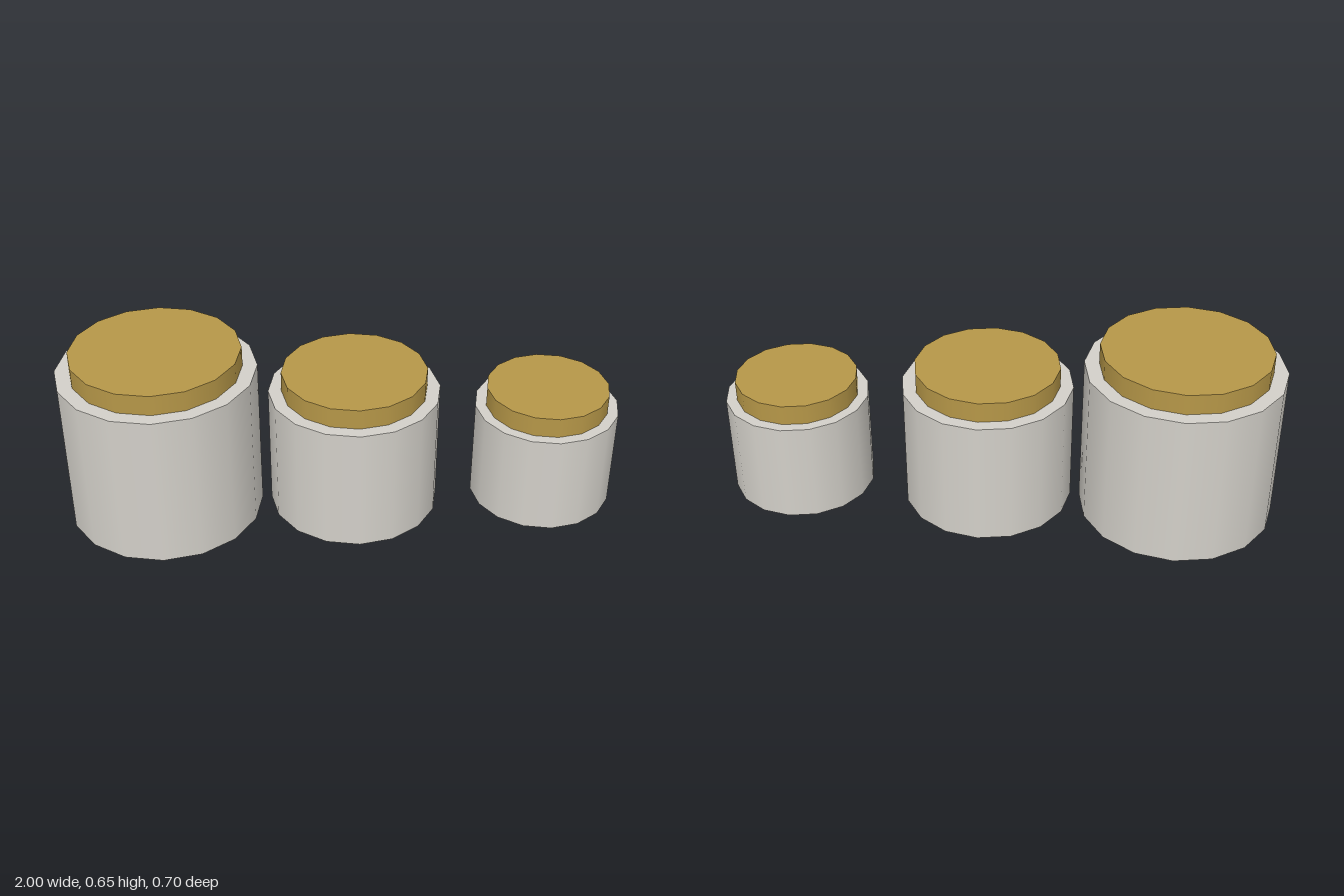
import * as THREE from 'three';

export function createModel() {
  const bodyMaterial = new THREE.MeshStandardMaterial({ color: 0xd3d0c9 });
  bodyMaterial.name = 'pale grey ceramic';
  const lidMaterial = new THREE.MeshStandardMaterial({ color: 0xb69748 });
  lidMaterial.name = 'ochre lid';

  // Smooth-sided 16-gon cylinder standing on its base
  const drum = (name, radius, height, y, material) => {
    const geometry = new THREE.CylinderGeometry(radius, radius, height, 16);
    const mesh = new THREE.Mesh(geometry, material);
    mesh.name = name;
    mesh.position.y = y + height / 2;
    return mesh;
  };

  const model = new THREE.Group();
  model.name = 'canisterSet';

  // Three canisters, descending in size from right to left
  const canisters = [
    { name: 'largeCanister', x: -0.648, radius: 0.352, height: 0.574, lid: 0.3 },
    { name: 'mediumCanister', x: 0.044, radius: 0.307, height: 0.463, lid: 0.26 },
    { name: 'smallCanister', x: 0.741, radius: 0.259, height: 0.371, lid: 0.22 },
  ];
  for (const c of canisters) {
    const canister = new THREE.Group();
    canister.name = c.name;
    canister.position.x = c.x;
    canister.add(
      drum('body', c.radius, c.height, 0, bodyMaterial),
      drum('lid', c.lid, 0.074, c.height, lidMaterial),
    );
    model.add(canister);
  }
  return model;
}
